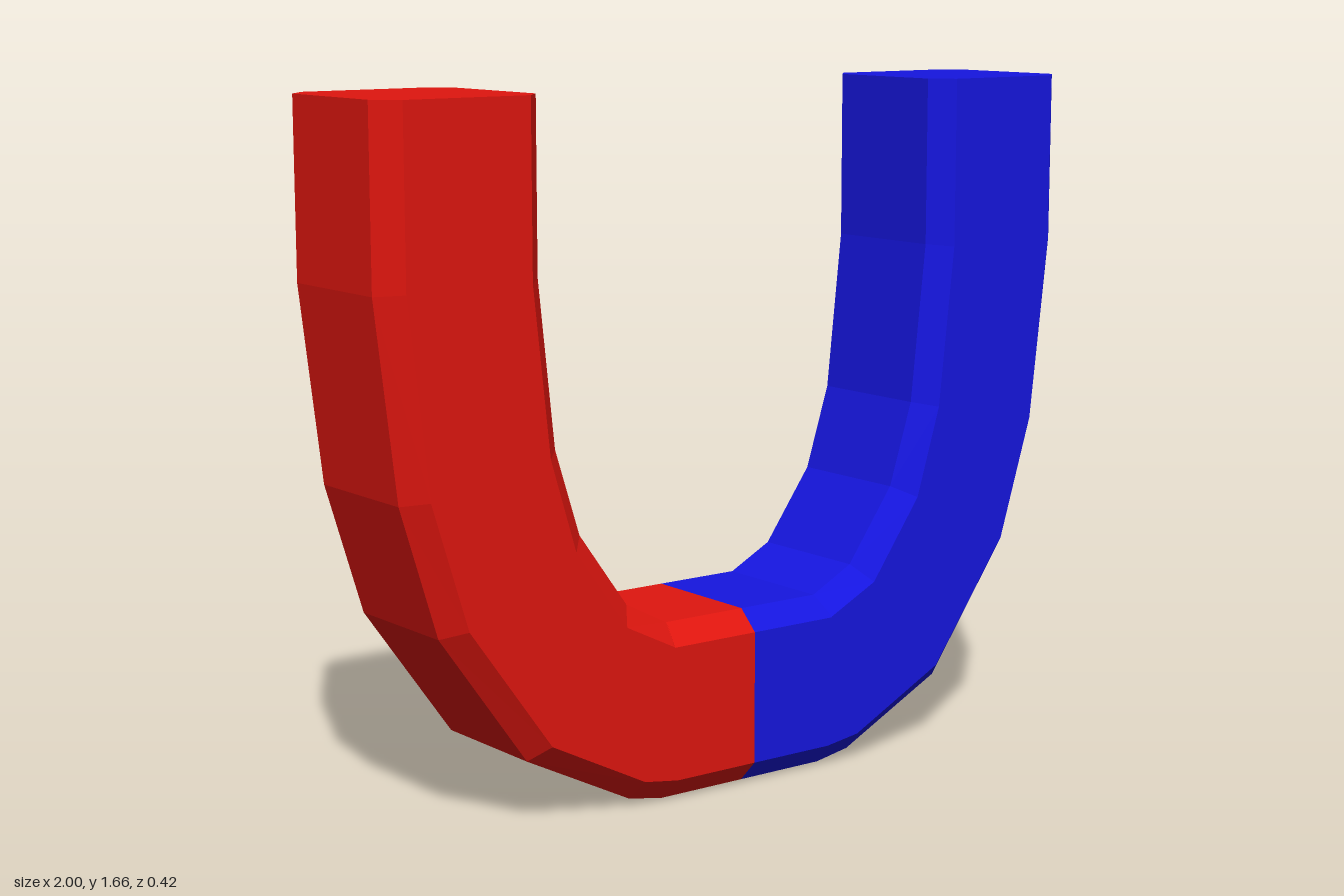
import * as THREE from 'three';

// Stations from pole tip to the middle of the bend:
// [outer edge x, y, outer bevel x, y, inner bevel x, y, inner edge x, y]
const STATIONS = [
  [1.0, 1.665, 0.947, 1.665, 0.625, 1.665, 0.577, 1.665],
  [1.0, 1.25, 0.947, 1.255, 0.625, 1.255, 0.577, 1.26],
  [0.945, 0.79, 0.895, 0.8, 0.582, 0.86, 0.535, 0.87],
  [0.85, 0.48, 0.802, 0.5, 0.515, 0.64, 0.47, 0.665],
  [0.62, 0.16, 0.585, 0.2, 0.375, 0.445, 0.34, 0.485],
  [0.335, 0.017, 0.325, 0.068, 0.24, 0.378, 0.225, 0.425],
  [0.24, 0, 0.23, 0.054, 0.238, 0.376, 0.223, 0.425],
  [0, 0, 0, 0.054, 0, 0.376, 0, 0.425],
];
const HALF_DEPTH = 0.212;
const BEVEL_DEPTH = 0.16;

// Eight-sided bevelled cross-section at one station
function ring([ox, oy, ax, ay, bx, by, ix, iy], side) {
  const p = (x, y, z) => [x * side, y, z];
  return [
    p(ox, oy, BEVEL_DEPTH), p(ax, ay, HALF_DEPTH), p(bx, by, HALF_DEPTH), p(ix, iy, BEVEL_DEPTH),
    p(ix, iy, -BEVEL_DEPTH), p(bx, by, -HALF_DEPTH), p(ax, ay, -HALF_DEPTH), p(ox, oy, -BEVEL_DEPTH),
  ];
}

// One half of the horseshoe; side = 1 for +x, -1 for its mirror image
function half(name, side, color) {
  const positions = [];
  const tri = (a, b, c) => positions.push(...a, ...(side > 0 ? b : c), ...(side > 0 ? c : b));
  const rings = STATIONS.map((s) => ring(s, side));

  // Skin between neighbouring cross-sections
  for (let s = 0; s < rings.length - 1; s++) {
    for (let k = 0; k < 8; k++) {
      const n = (k + 1) % 8;
      tri(rings[s][k], rings[s][n], rings[s + 1][n]);
      tri(rings[s][k], rings[s + 1][n], rings[s + 1][k]);
    }
  }
  // Flat pole tip
  for (let k = 1; k < 7; k++) tri(rings[0][0], rings[0][k + 1], rings[0][k]);

  const geometry = new THREE.BufferGeometry();
  geometry.setAttribute('position', new THREE.Float32BufferAttribute(positions, 3));
  geometry.computeVertexNormals();
  const mesh = new THREE.Mesh(geometry, new THREE.MeshStandardMaterial({ color, flatShading: true }));
  mesh.name = name;
  return mesh;
}

export function createModel() {
  const group = new THREE.Group();
  group.name = 'horseshoeMagnet';
  group.add(half('leftPole', 1, 0x1616e0), half('rightPole', -1, 0xe0160f));
  return group;
}
